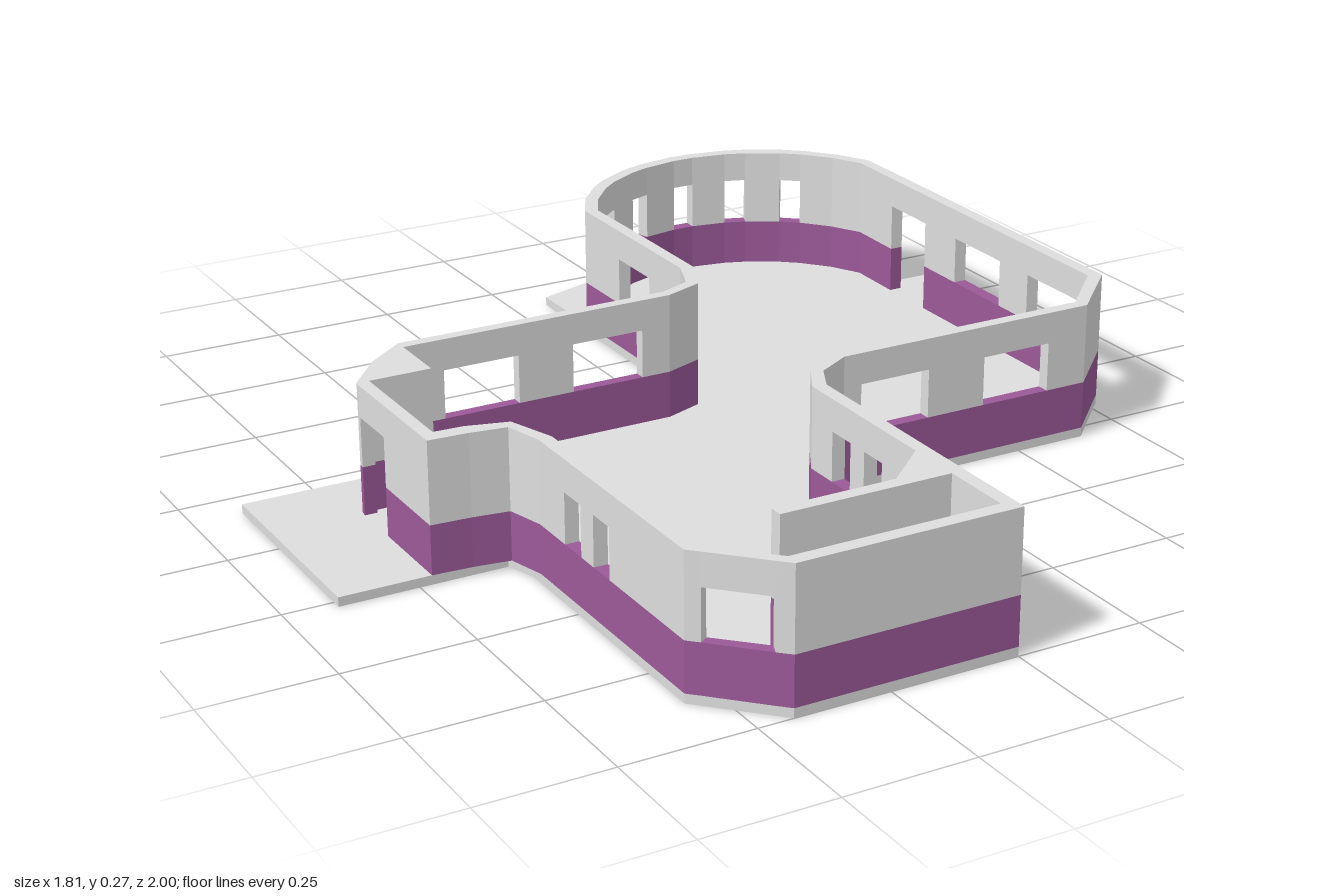
import * as THREE from 'three';

const FLOOR = 0.018, SILL = 0.113, HEAD = 0.21, TOP = 0.272;

// Extrude a plan outline given as [x, z] points between two heights
function slab(points, y0, y1, material, name, hole) {
  const toPlan = ([x, z]) => new THREE.Vector2(x, -z);
  const shape = new THREE.Shape(points.map(toPlan));
  if (hole) shape.holes.push(new THREE.Path(hole.map(toPlan)));
  const geo = new THREE.ExtrudeGeometry(shape, { depth: y1 - y0, bevelEnabled: false });
  geo.rotateX(-Math.PI / 2);
  geo.translate(0, y0, 0);
  const mesh = new THREE.Mesh(geo, material);
  mesh.name = name;
  return mesh;
}

// Wall stations running round the plan: outer point, inner point and the
// kind of opening (window or door) that starts there
function wallStations() {
  const list = [];
  const add = (ox, oz, ix, iz, kind = '') => list.push({ outer: [ox, oz], inner: [ix, iz], kind });
  const alongZ = (ox, ix, openings) => openings.forEach(([a, b, kind]) => {
    add(ox, a, ix, a, kind);
    add(ox, b, ix, b);
  });
  const alongX = (oz, iz, openings) => openings.forEach(([a, b, kind]) => {
    add(a, oz, a, iz, kind);
    add(b, oz, b, iz);
  });

  // back wing, left-hand wall in plan
  add(0.074, -0.28, 0.1, -0.275);
  alongZ(0.074, 0.1, [[-0.41, -0.54, 'window']]);

  // rounded end: a circular arc with five narrow windows
  const windows = [-43.8, -23.8, -3.8, 16.2, 36.2];
  for (const deg of [-68, -56, -43.8, -36.2, -23.8, -16.2, -3.8, 3.8, 16.2, 23.8, 36.2, 43.8, 56, 68]) {
    const t = THREE.MathUtils.degToRad(deg), s = Math.sin(t), c = Math.cos(t);
    add(0.424 + 0.378 * s, -0.547 - 0.378 * c, 0.424 + 0.351 * s, -0.547 - 0.351 * c,
      windows.includes(deg) ? 'window' : '');
  }

  // long side wall with porch door and two wide windows
  alongZ(0.775, 0.748, [[-0.55, -0.42, 'door'], [-0.305, -0.143, 'window'], [-0.045, 0.12, 'window']]);
  add(0.775, 0.165, 0.748, 0.155);
  add(0.647, 0.29, 0.637, 0.265);
  alongX(0.29, 0.265, [[0.56, 0.412, 'window'], [0.287, 0.138, 'window']]);

  // curved inside corner into the front wing
  add(0.1, 0.29, 0.095, 0.265);
  add(0.03, 0.33, 0.015, 0.31);
  add(0, 0.39, -0.027, 0.385);
  alongZ(0, -0.027, [[0.455, 0.515, 'window'], [0.56, 0.617, 'window']]);
  add(0, 1, -0.027, 0.972);

  // front end and its chamfered corner
  add(-0.433, 1, -0.43, 0.972);
  add(-0.455, 0.978, -0.446, 0.956, 'window');
  add(-0.54, 0.89, -0.524, 0.878);
  add(-0.56, 0.87, -0.533, 0.867);
  alongZ(-0.56, -0.533, [[0.617, 0.56, 'window'], [0.515, 0.455, 'window']]);
  add(-0.56, 0.36, -0.533, 0.36);
  add(-0.58, 0.285, -0.565, 0.265);
  add(-0.65, 0.275, -0.645, 0.243);

  // side entrance
  add(-0.727, 0.27, -0.702, 0.24);
  alongZ(-0.727, -0.702, [[0.083, -0.02, 'door']]);
  add(-0.725, -0.035, -0.702, -0.032);
  add(-0.66, -0.115, -0.58, -0.032);
  add(-0.58, -0.178, -0.58, -0.155);

  // rear wall and curved inside corner
  alongX(-0.178, -0.155, [[-0.5, -0.345, 'window'], [-0.23, -0.08, 'window']]);
  add(-0.02, -0.178, -0.02, -0.155);
  add(0.045, -0.205, 0.06, -0.185);
  return list;
}

// One horizontal course of wall, interrupted wherever the opening kind is cut
function course(stations, cuts, y0, y1, material, name) {
  const group = new THREE.Group();
  group.name = name;
  const n = stations.length;
  const first = stations.findIndex(s => cuts.includes(s.kind));
  if (first < 0) {
    // the hole runs the opposite way round so its walls face the rooms
    const hole = stations.map(s => s.inner).reverse();
    group.add(slab(stations.map(s => s.outer), y0, y1, material, name + 'Ring', hole));
    return group;
  }
  let run = [];
  for (let i = 1; i <= n; i++) {
    const s = stations[(first + i) % n];
    run.push(s);
    if (cuts.includes(s.kind)) {
      const outline = [...run.map(r => r.outer), ...run.map(r => r.inner).reverse()];
      group.add(slab(outline, y0, y1, material, name + 'Section'));
      run = [];
    }
  }
  return group;
}

export function createModel() {
  const model = new THREE.Group();
  model.name = 'building';
  const grey = new THREE.MeshStandardMaterial({ color: 0xdddddd });
  grey.name = 'pale grey';
  const purple = new THREE.MeshStandardMaterial({ color: 0x9b5998 });
  purple.name = 'purple';

  // floor plate with porches and pointed rear apron
  model.add(slab([
    [-0.903, -0.177], [-0.02, -0.177], [0.074, -0.25], [0.074, -0.882], [0.428, -1],
    [0.775, -0.882], [0.775, -0.595], [0.903, -0.595], [0.903, -0.388], [0.775, -0.388],
    [0.775, 0.165], [0.647, 0.29], [0.1, 0.29], [0, 0.36], [0, 1], [-0.433, 1],
    [-0.56, 0.87], [-0.56, 0.33], [-0.58, 0.27], [-0.903, 0.27],
  ], 0, FLOOR, grey, 'floor'));

  // outer walls in three courses
  const stations = wallStations();
  model.add(course(stations, ['door'], FLOOR, SILL, purple, 'lowerWall'));
  model.add(course(stations, ['door', 'window'], SILL, HEAD, grey, 'windowWall'));
  model.add(course(stations, [], HEAD, TOP, grey, 'upperWall'));

  // inner partition in the front wing
  const partition = [[-0.027, 0.72], [-0.12, 0.803], [-0.36, 0.803], [-0.36, 0.83], [-0.027, 0.83]];
  model.add(slab(partition, FLOOR, SILL, purple, 'lowerPartition'));
  model.add(slab(partition, SILL, TOP, grey, 'upperPartition'));
  return model;
}
